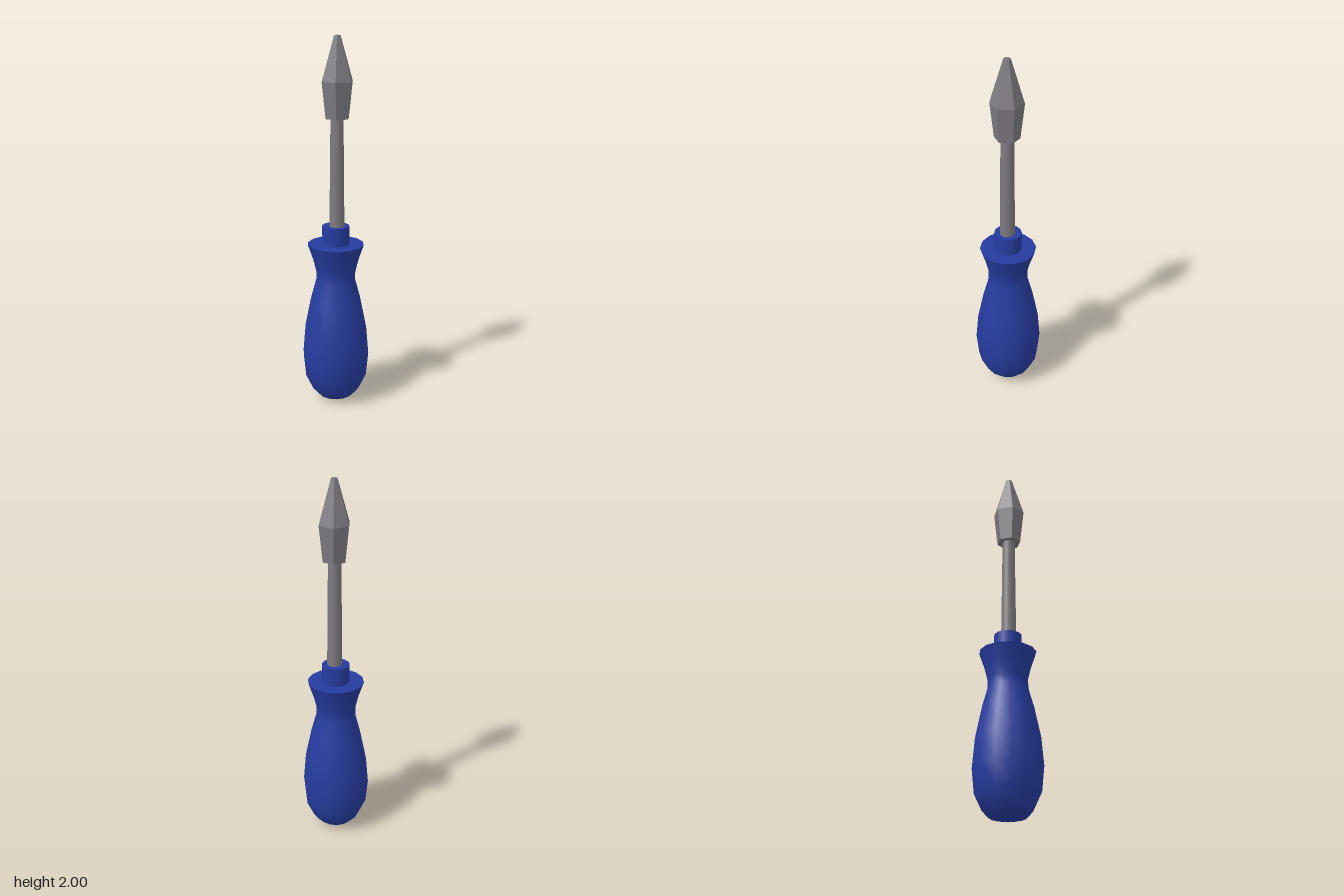
import * as THREE from 'three';

export function createModel() {
  const model = new THREE.Group();
  const blue = new THREE.MeshStandardMaterial({ color: 0x263ca0 });
  blue.name = 'blue handle plastic';
  const steel = new THREE.MeshStandardMaterial({ color: 0x7d7b80 });
  steel.name = 'grey steel';

  const SIDES = 14;
  const TURN = 0.12; // slight twist of the handle facets

  const add = (name, geometry, material, x = 0) => {
    const mesh = new THREE.Mesh(geometry, material);
    mesh.name = name;
    mesh.position.x = x;
    model.add(mesh);
  };
  // Revolve a bottom-to-top profile of [radius, height] pairs
  const lathe = (profile, sides, turn) => new THREE.LatheGeometry(
    profile.map(([r, y]) => new THREE.Vector2(r, y)), sides, turn);

  // Handle: bulbous grip, narrow neck and flared rim
  add('handleGrip', lathe([
    [0, 0.005], [0.094, 0.027], [0.13, 0.065], [0.17, 0.15], [0.183, 0.28],
    [0.17, 0.43], [0.137, 0.59], [0.107, 0.7], [0.107, 0.75], [0.124, 0.82], [0.152, 0.903],
  ], SIDES, TURN), blue);
  add('handleRim', lathe([[0.152, 0.903], [0, 0.903]], SIDES, TURN), blue);

  // Collar where the shaft enters the handle
  const collar = new THREE.CylinderGeometry(0.074, 0.074, 0.11, SIDES, 1, false, TURN);
  collar.translate(0, 0.948, 0);
  add('collar', collar, blue);

  // Slightly tapered round shaft
  const shaft = new THREE.CylinderGeometry(0.034, 0.041, 0.65, SIDES, 1, false, TURN);
  shaft.translate(0, 1.295, 0);
  add('shaft', shaft, steel, 0.007);

  // Faceted six-sided tip
  const tip = lathe([[0, 1.58], [0.066, 1.58], [0.087, 1.77], [0.018, 2], [0, 2]], 6, 0.43)
    .toNonIndexed();
  tip.computeVertexNormals();
  add('tip', tip, steel, 0.009);

  return model;
}
